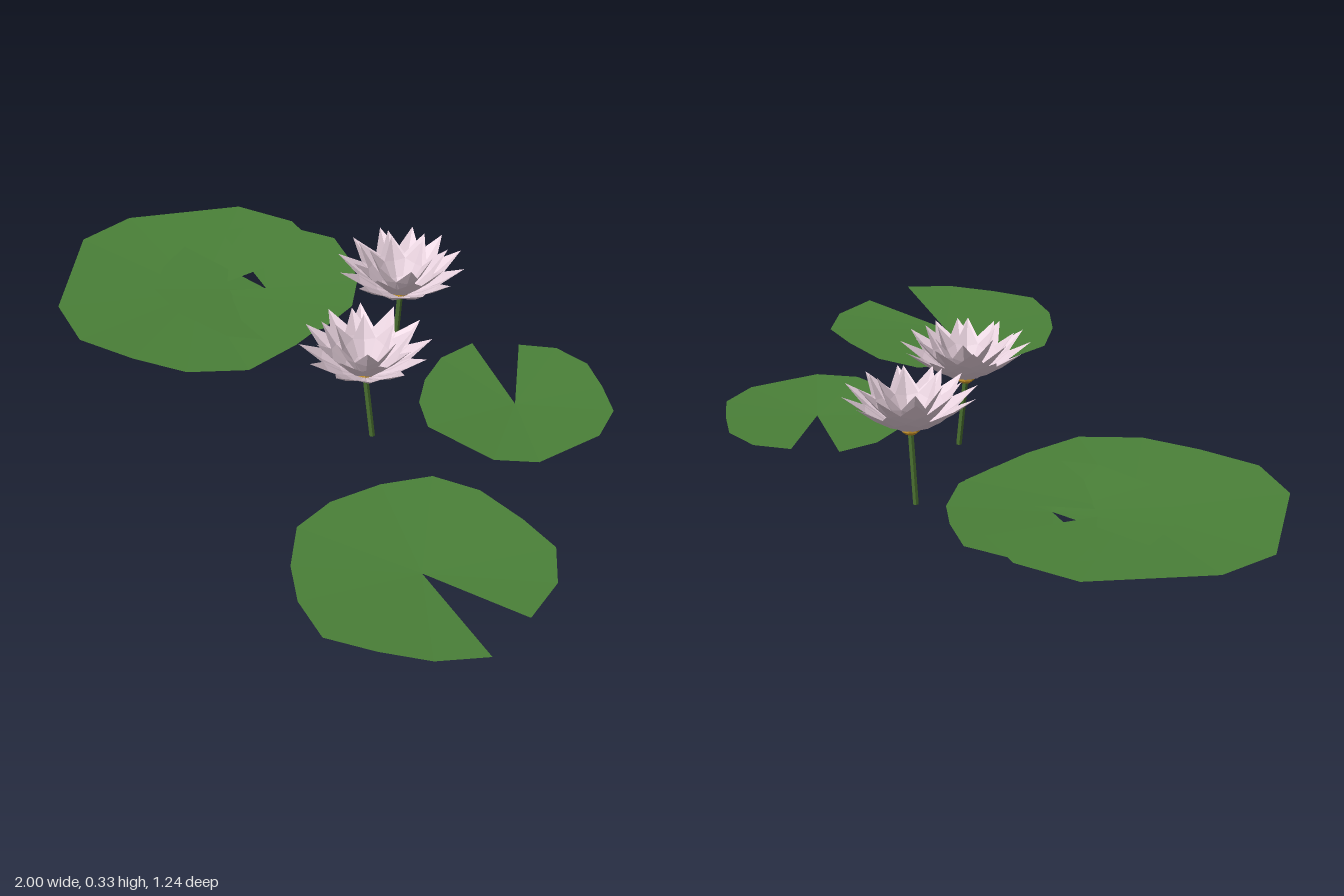
import * as THREE from 'three';

const mat = (color) => new THREE.MeshStandardMaterial({ color, flatShading: true, side: THREE.DoubleSide });
const padMat = mat(0x4a8038);
const petalMat = mat(0xe6d0dc);
const stemMat = mat(0x4a7030);
const heartMat = mat(0xd09a2c);

function mesh(name, geometry, material) {
  const m = new THREE.Mesh(geometry, material);
  m.name = name;
  return m;
}

function surface(positions, index) {
  const g = new THREE.BufferGeometry();
  g.setAttribute('position', new THREE.Float32BufferAttribute(positions, 3));
  g.setIndex(index);
  g.computeVertexNormals();
  return g;
}

// Shallow dished leaf: a fan from the notch apex to the rim, leaving the notch open.
// The rim runs clockwise seen from above, as [x, z] pairs.
function lilyPad(name, [cx, cz], centreY, rimY, rim) {
  const positions = [cx, centreY, cz];
  const index = [];
  rim.forEach(([x, z], i) => {
    positions.push(x, rimY, z);
    if (i > 0) index.push(0, i + 1, i);
  });
  return mesh(name, surface(positions, index), padMat);
}

// Pointed, lightly cupped petal growing outwards along +x from the flower's base.
function petalGeometry({ tipR, tipY, halfWidth }) {
  const stations = [ // fraction of reach, fraction of height, fraction of width
    [0.06, 0, 0.2],
    [0.38, 0.24, 0.8],
    [0.66, 0.54, 1],
    [1, 1, 0],
  ];
  const positions = [];
  const index = [];
  stations.forEach(([r, h, w], i) => {
    const x = r * tipR, y = h * tipY, z = w * halfWidth;
    positions.push(x - w * 0.006, y + w * 0.008, -z, x, y, 0, x - w * 0.006, y + w * 0.008, z);
    if (i === 0) return;
    const a = (i - 1) * 3, b = i * 3;
    for (const k of [0, 1]) {
      index.push(a + k, a + k + 1, b + 1);
      if (i < stations.length - 1) {
        if (k === 0) index.push(a, b + 1, b);
        else index.push(a + 2, b + 2, b + 1);
      } 
    }
  });
  // The right half uses the other diagonal so that both halves mirror each other.
  return surface(positions, index);
}

const petalRows = [
  { name: 'outerPetal', count: 12, tipR: 0.174, tipY: 0.108, halfWidth: 0.034, turn: 0.1 },
  { name: 'middlePetal', count: 8, tipR: 0.132, tipY: 0.124, halfWidth: 0.035, turn: 0.3 },
  { name: 'innerPetal', count: 6, tipR: 0.088, tipY: 0.132, halfWidth: 0.03, turn: 0.6 },
];

function flower(name, head, foot, turn) {
  const group = new THREE.Group();
  group.name = name;

  // Blossom
  const blossom = new THREE.Group();
  blossom.name = 'blossom';
  blossom.position.copy(head);
  blossom.rotation.y = turn;
  for (const row of petalRows) {
    const geometry = petalGeometry(row);
    for (let i = 0; i < row.count; i++) {
      const petal = mesh(row.name, geometry, petalMat);
      petal.rotation.y = row.turn + (i / row.count) * Math.PI * 2;
      blossom.add(petal);
    }
  }
  const heart = mesh('flowerHeart', new THREE.SphereGeometry(0.027, 8, 5), heartMat);
  heart.scale.y = 0.7;
  heart.position.y = 0.008;
  blossom.add(heart);
  group.add(blossom);

  // Leaning stem
  const path = new THREE.LineCurve3(foot, head);
  group.add(mesh('stem', new THREE.TubeGeometry(path, 1, 0.008, 6), stemMat));
  return group;
}

export function createModel() {
  const model = new THREE.Group();
  model.name = 'waterLilies';

  // Floating leaves
  model.add(lilyPad('largePad', [-0.59, -0.07], 0.083, 0.102, [
    [-0.315, -0.4], [-0.235, -0.31], [-0.2, -0.09], [-0.2, 0.08], [-0.305, 0.21], [-0.45, 0.28],
    [-0.615, 0.335], [-0.78, 0.285], [-1, 0.03], [-1, -0.14], [-0.83, -0.42], [-0.665, -0.485], [-0.51, -0.455],
  ]));
  model.add(lilyPad('overlappingPad', [-0.475, -0.222], 0.081, 0.098, [
    [-0.77, -0.3], [-0.72, -0.4], [-0.625, -0.475], [-0.52, -0.522], [-0.405, -0.48], [-0.32, -0.43],
    [-0.235, -0.33], [-0.21, -0.2], [-0.25, -0.07], [-0.36, 0.02], [-0.53, 0.05], [-0.67, 0.03],
    [-0.74, -0.06], [-0.78, -0.17],
  ]));
  model.add(lilyPad('backPad', [0.365, -0.365], 0.082, 0.094, [
    [0.2, -0.55], [0.28, -0.615], [0.385, -0.625], [0.48, -0.58], [0.57, -0.525], [0.615, -0.42],
    [0.585, -0.225], [0.5, -0.145], [0.29, -0.115], [0.2, -0.17], [0.14, -0.25], [0.1, -0.35], [0.11, -0.46],
  ]));
  model.add(lilyPad('frontPad', [0.675, 0.28], 0.082, 0.099, [
    [1, 0.37], [0.92, 0.48], [0.81, 0.555], [0.69, 0.618], [0.56, 0.58], [0.455, 0.51], [0.36, 0.405],
    [0.345, 0.28], [0.38, 0.14], [0.445, 0.02], [0.565, -0.03], [0.715, -0.03], [0.84, -0.015],
    [0.93, 0.075], [0.97, 0.21],
  ]));

  // Two flowers
  model.add(flower('backFlower', new THREE.Vector3(-0.085, 0.2, -0.37), new THREE.Vector3(-0.1, 0, -0.368), 0));
  model.add(flower('frontFlower', new THREE.Vector3(0.112, 0.195, -0.055), new THREE.Vector3(0.134, 0, -0.063), 0.8));
  return model;
}
